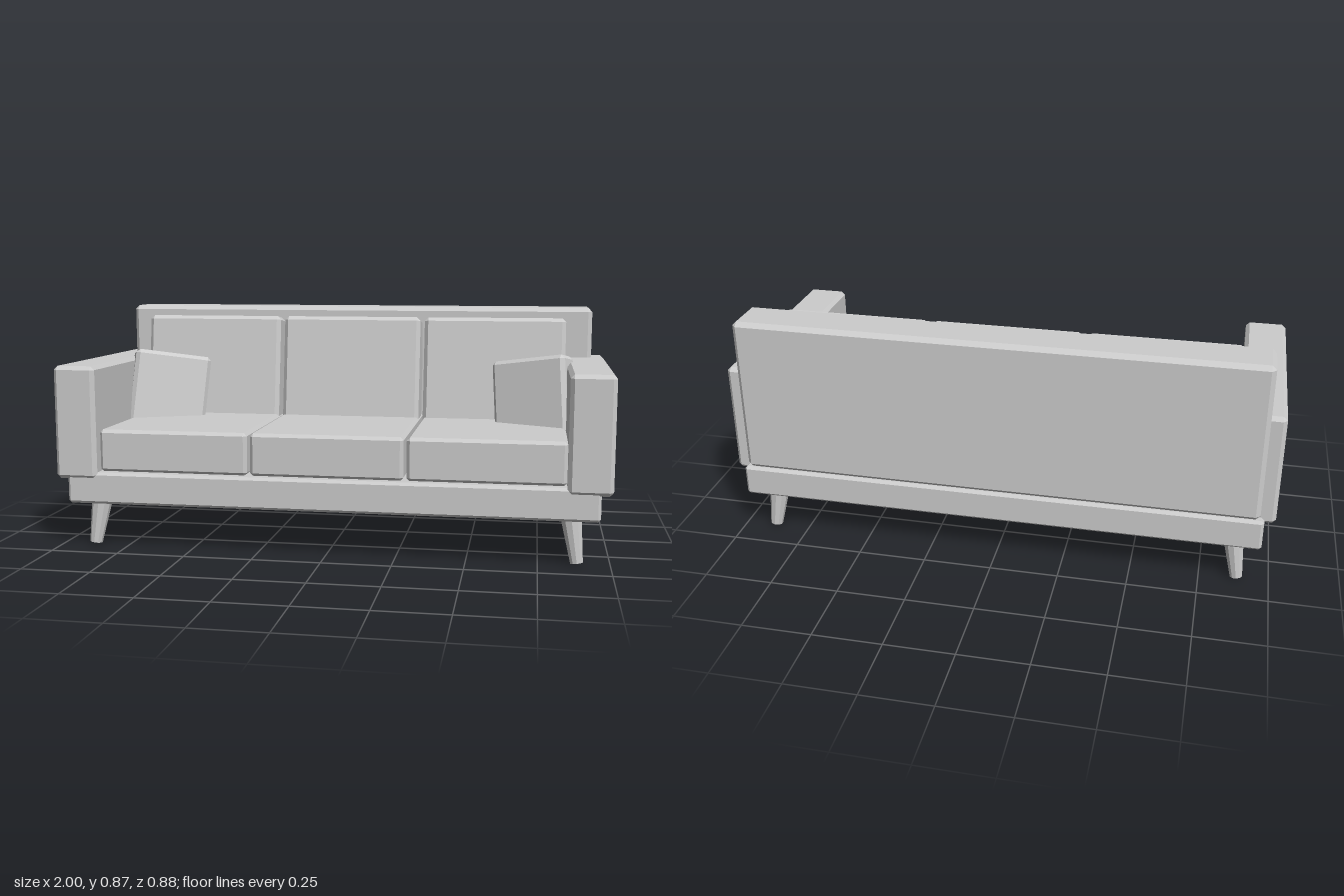
import * as THREE from 'three';
import { ConvexGeometry } from 'three/addons/geometries/ConvexGeometry.js';

// Box with flat chamfers of width c on every edge, centred on the origin
function chamferBox(w, h, d, c) {
  const pts = [];
  for (const x of [-1, 1]) for (const y of [-1, 1]) for (const z of [-1, 1]) {
    const [a, b, e] = [w / 2, h / 2, d / 2];
    pts.push(
      new THREE.Vector3(x * a, y * (b - c), z * (e - c)),
      new THREE.Vector3(x * (a - c), y * b, z * (e - c)),
      new THREE.Vector3(x * (a - c), y * (b - c), z * e)
    );
  }
  return new ConvexGeometry(pts);
}

export function createModel() {
  const group = new THREE.Group();
  const grey = new THREE.MeshStandardMaterial({ color: 0xcccccc });
  grey.name = 'soft grey';
  grey.flatShading = true;

  const add = (name, geometry, pos, rot = [0, 0, 0]) => {
    const mesh = new THREE.Mesh(geometry, grey);
    mesh.name = name;
    mesh.position.set(...pos);
    mesh.rotation.set(...rot);
    group.add(mesh);
  };
  // Upright block given by its limits on each axis
  const block = (name, [x0, x1], [y0, y1], [z0, z1], c) =>
    add(name, chamferBox(x1 - x0, y1 - y0, z1 - z0, c),
      [(x0 + x1) / 2, (y0 + y1) / 2, (z0 + z1) / 2]);

  // Frame
  block('base', [-0.96, 0.96], [0.165, 0.282], [-0.44, 0.433], 0.01);
  block('backrest', [-0.945, 0.945], [0.282, 0.867], [-0.44, -0.268], 0.016);
  block('rightArm', [-1, -0.845], [0.257, 0.672], [-0.408, 0.442], 0.014);
  block('leftArm', [0.845, 1], [0.257, 0.672], [-0.408, 0.442], 0.014);

  // Three seat cushions with leaning back cushions
  const names = ['right', 'middle', 'left'];
  for (let i = 0; i < 3; i++) {
    const x = (i - 1) * 0.567;
    block(names[i] + 'SeatCushion', [x - 0.278, x + 0.278], [0.28, 0.437], [-0.28, 0.402], 0.012);
    add(names[i] + 'BackCushion', chamferBox(0.55, 0.42, 0.14, 0.015),
      [x, 0.614, -0.212], [-0.14, 0, 0]);
  }

  // Mirrored throw pillows and splayed, tapered legs
  for (const s of [-1, 1]) {
    const side = s < 0 ? 'right' : 'left';
    add(side + 'ThrowPillow', chamferBox(0.3, 0.3, 0.1, 0.015),
      [s * 0.724, 0.533, -0.045], [-0.18, -s * 0.44, s * 0.07]);
    for (const f of [-1, 1]) {
      add(side + (f > 0 ? 'FrontLeg' : 'BackLeg'),
        new THREE.CylinderGeometry(0.039, 0.023, 0.172, 10),
        [s * 0.873, 0.089, -0.005 + f * 0.358], [-f * 0.09, 0, s * 0.14]);
    }
  }
  return group;
}
